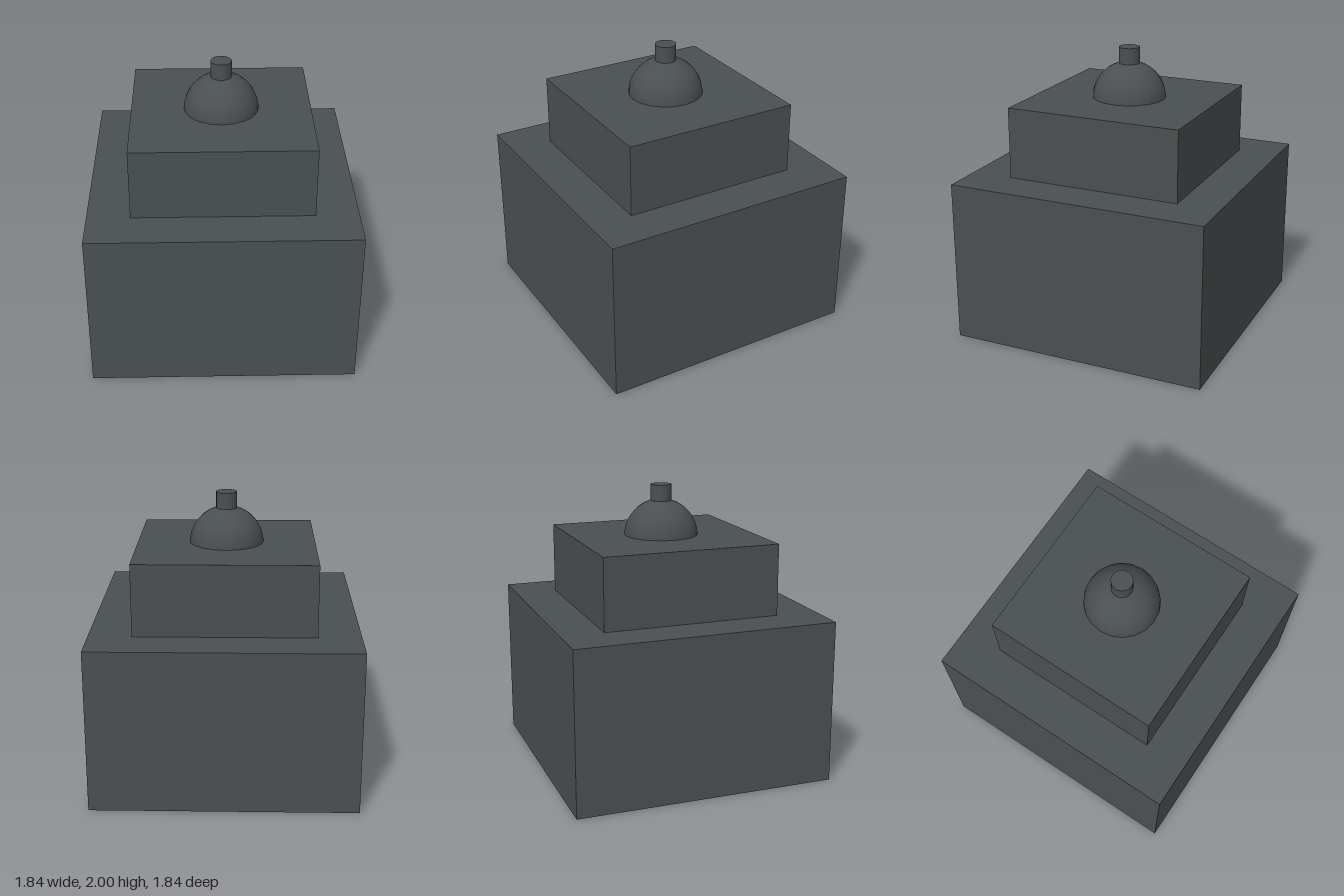
import * as THREE from 'three';

export function createModel() {
  const model = new THREE.Group();
  const material = new THREE.MeshStandardMaterial({ color: 0x4a4f50 });

  const add = (name, geometry, y) => {
    const mesh = new THREE.Mesh(geometry, material);
    mesh.name = name;
    mesh.position.y = y;
    model.add(mesh);
  };

  // Square block with its underside at the given height
  const addBlock = (name, width, bottom, top) =>
    add(name, new THREE.BoxGeometry(width, top - bottom, width), (bottom + top) / 2);

  // Two stacked tiers
  addBlock('lowerTier', 1.835, 0, 1.145);
  addBlock('upperTier', 1.245, 1.145, 1.645);

  // Dome, its equator just sunk into the upper tier
  add('dome', new THREE.SphereGeometry(0.26, 20, 10, 0, Math.PI * 2, 0, Math.PI / 2), 1.637);

  // Short finial rising out of the dome
  add('finial', new THREE.CylinderGeometry(0.073, 0.073, 0.2, 24), 1.9);

  return model;
}
